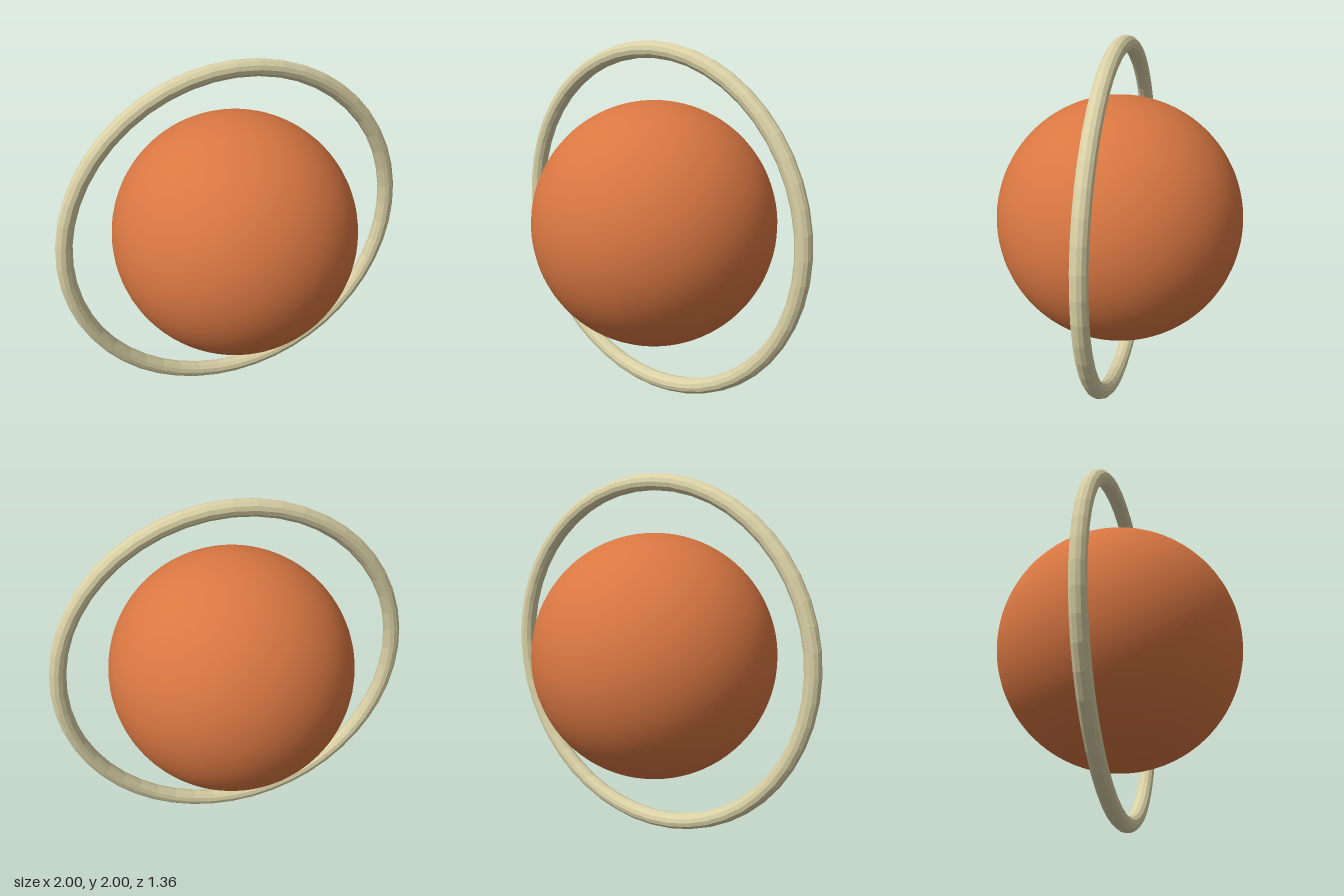
import * as THREE from 'three';

export function createModel() {
  const group = new THREE.Group();
  group.name = 'ringedPlanet';

  const orange = new THREE.MeshStandardMaterial({ color: 0xd97742 });
  orange.name = 'burnt orange';
  const cream = new THREE.MeshStandardMaterial({ color: 0xd9d0a5, flatShading: true });
  cream.name = 'pale cream';

  // Smooth globe
  const globe = new THREE.Mesh(new THREE.SphereGeometry(15 / 22, 64, 48), orange);
  globe.name = 'globe';
  globe.position.y = 1;
  group.add(globe);

  // Upright faceted ring floating around the globe
  const ring = new THREE.Mesh(new THREE.TorusGeometry(21 / 22, 1 / 22, 12, 48), cream);
  ring.name = 'ring';
  ring.position.y = 1;
  group.add(ring);

  return group;
}
